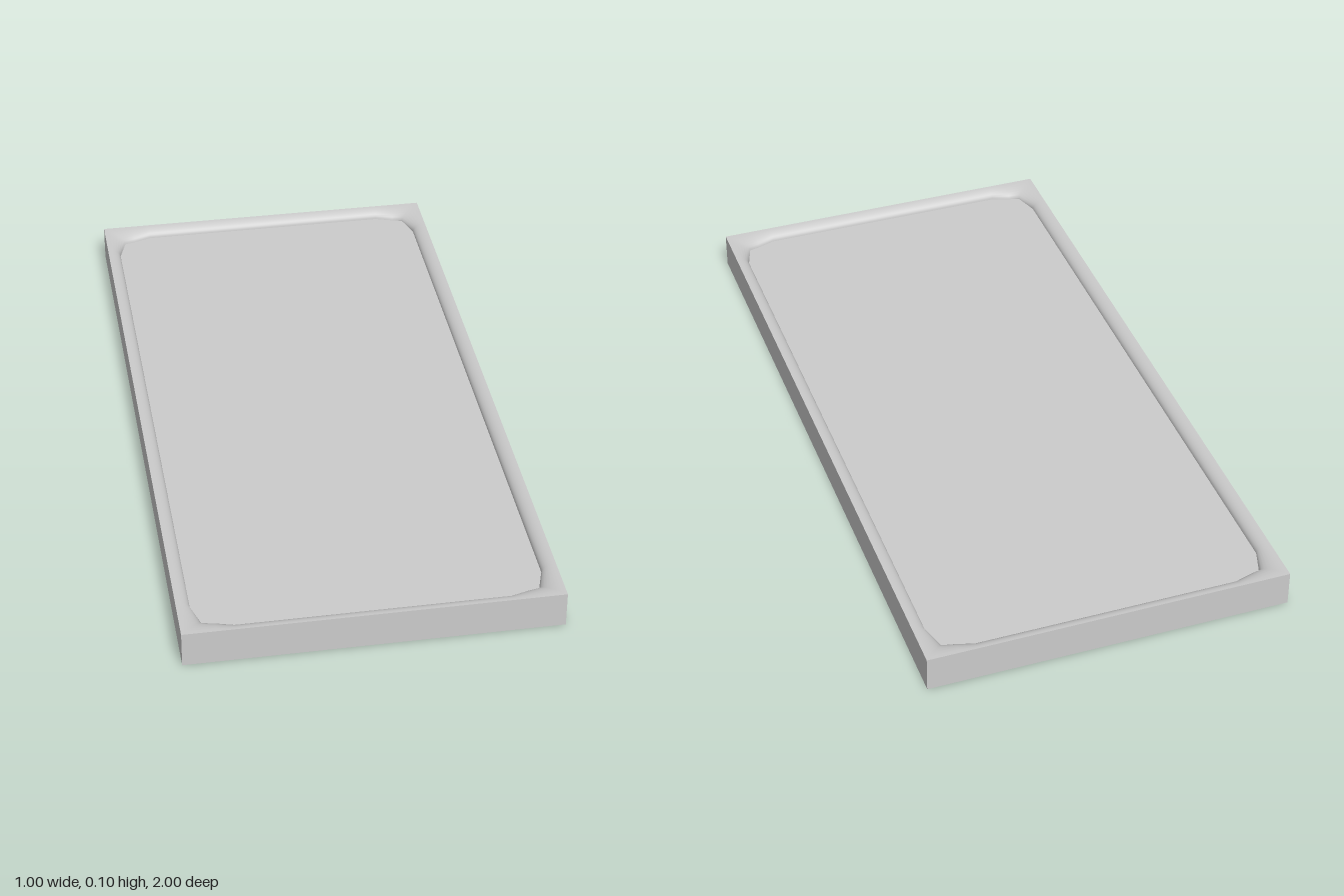
import * as THREE from 'three';

const HEIGHT = 0.1, PANEL_TOP = 0.075, PANEL_BOTTOM = 0.05;

// One corner as [inner x, inner z, outer x, outer z]
const CORNER = [
  [0.462, 0.87, 0.5, 0.87],
  [0.44, 0.938, 0.5, 1],
  [0.41, 0.946, 0.41, 1],
  [0.36, 0.963, 0.36, 1],
];

// Mirror the corner into all four quadrants, running from +x towards +z
function outline() {
  const points = [];
  for (const [sx, sz] of [[1, 1], [-1, 1], [-1, -1], [1, -1]]) {
    const corner = sx * sz > 0 ? CORNER : [...CORNER].reverse();
    for (const [ix, iz, ox, oz] of corner) {
      points.push({
        inner: new THREE.Vector2(ix * sx, iz * sz),
        outer: new THREE.Vector2(ox * sx, oz * sz),
      });
    }
  }
  return points;
}

// Closed skin across rows of points
function skin(rows) {
  const n = rows[0].length, index = [];
  for (let r = 0; r < rows.length - 1; r++) {
    for (let i = 0; i < n; i++) {
      const a = r * n + i, b = r * n + (i + 1) % n;
      index.push(a, a + n, b, b, a + n, b + n);
    }
  }
  const geometry = new THREE.BufferGeometry().setFromPoints(rows.flat());
  geometry.setIndex(index);
  geometry.computeVertexNormals();
  return geometry;
}

export function createModel() {
  const group = new THREE.Group();
  group.name = 'framedPanel';
  const smooth = new THREE.MeshStandardMaterial({ color: 0xcccccc });
  const flat = new THREE.MeshStandardMaterial({ color: 0xcccccc, flatShading: true });
  const points = outline();

  const add = (name, geometry, material) => {
    const mesh = new THREE.Mesh(geometry, material);
    mesh.name = name;
    group.add(mesh);
  };
  const row = (t, y) => points.map(({ inner, outer }) => {
    const p = outer.clone().lerp(inner, t);
    return new THREE.Vector3(p.x, y, p.y);
  });

  // Rounded moulding from the sharp outer rim in to the panel
  const moulding = (rimY, panelY) => {
    const rows = [], steps = 8;
    for (let s = 0; s <= steps; s++) {
      const a = (s / steps) * Math.PI / 2;
      rows.push(row(Math.sin(a), rimY + (panelY - rimY) * (1 - Math.cos(a))));
    }
    return rows;
  };
  add('topMoulding', skin(moulding(HEIGHT, PANEL_TOP)), smooth);
  add('bottomMoulding', skin(moulding(0, PANEL_BOTTOM).reverse()), smooth);

  // Straight outer sides
  add('outerSides', skin([row(0, 0), row(0, HEIGHT)]), flat);

  // Inset panel with clipped corners
  const panel = new THREE.ExtrudeGeometry(
    new THREE.Shape(points.map((p) => p.inner)),
    { depth: PANEL_TOP - PANEL_BOTTOM, bevelEnabled: false },
  );
  panel.rotateX(Math.PI / 2).translate(0, PANEL_TOP, 0);
  add('panel', panel, flat);

  return group;
}
